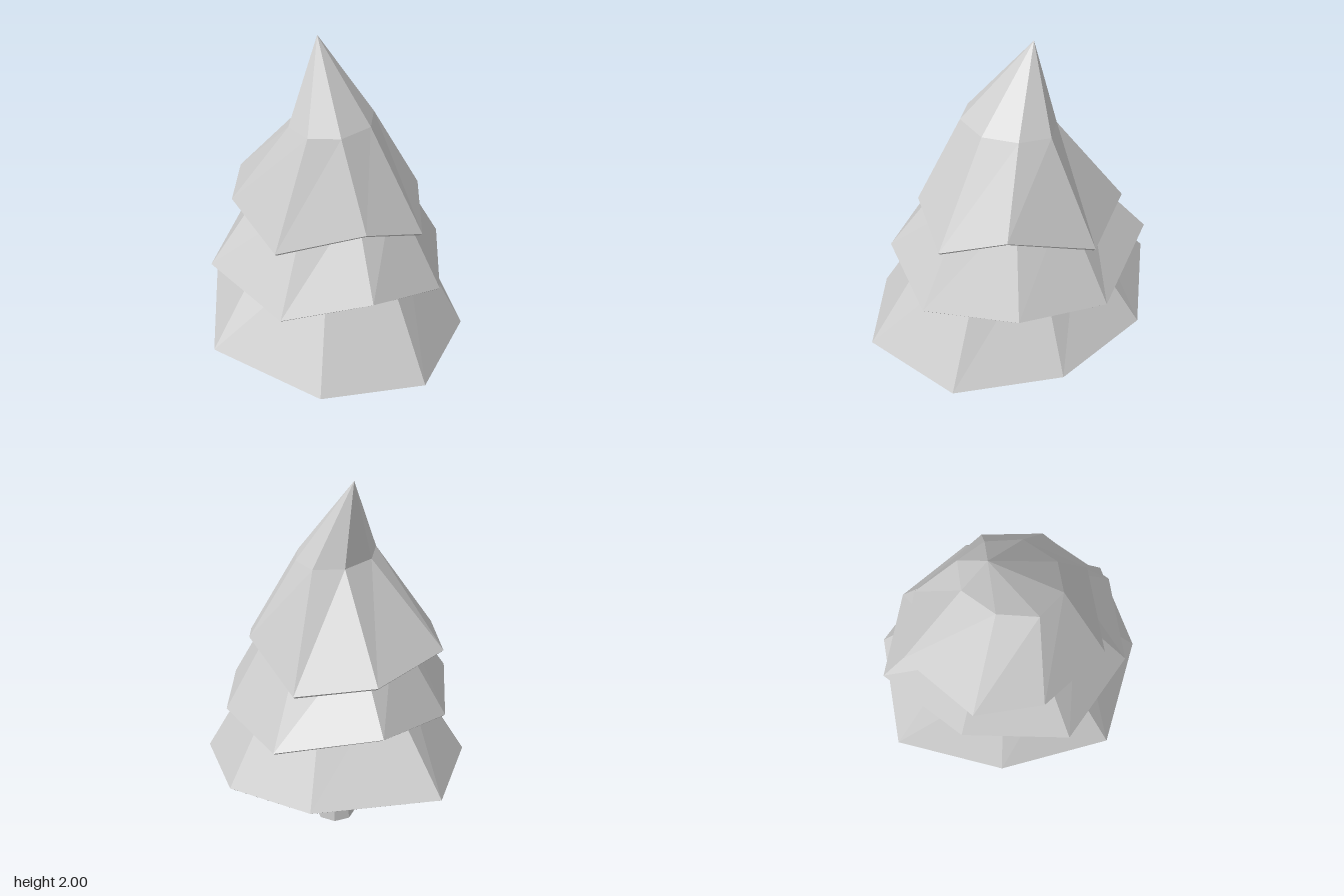
import * as THREE from 'three';

const material = new THREE.MeshStandardMaterial({ color: 0xcccccc, flatShading: true });

// Skin a list of equal-length rings; skips collapsed triangles.
function loft(rings) {
  const pos = [];
  const tri = (a, b, c) => {
    if (a.distanceTo(b) > 1e-5 && b.distanceTo(c) > 1e-5 && c.distanceTo(a) > 1e-5) {
      for (const p of [a, b, c]) pos.push(p.x, p.y, p.z);
    }
  };
  for (let r = 0; r + 1 < rings.length; r++) {
    const lo = rings[r], hi = rings[r + 1], n = lo.length;
    for (let i = 0; i < n; i++) {
      const j = (i + 1) % n;
      tri(lo[j], lo[i], hi[i]);
      tri(lo[j], hi[i], hi[j]);
    }
  }
  const geo = new THREE.BufferGeometry();
  geo.setAttribute('position', new THREE.Float32BufferAttribute(pos, 3));
  geo.computeVertexNormals();
  return geo;
}

const ring = (pts) => pts.map((p) => new THREE.Vector3(...p));

// Shrink a ring towards the trunk axis, optionally to a level height.
const shrink = (pts, s, cx, y) =>
  pts.map((p) => new THREE.Vector3(cx + (p.x - cx) * s, y, p.z * s));

const collapse = (pts, x, y, z) => pts.map(() => new THREE.Vector3(x, y, z));

// Hollow skirt of foliage: inner skin, thin rim, outer skin.
function foliage(name, outer) {
  const inner = outer.map((r) =>
    r.map((p) => new THREE.Vector3(0.04 + (p.x - 0.04) * 0.98, p.y - 0.012, p.z * 0.98)));
  const mesh = new THREE.Mesh(loft([...inner.reverse(), ...outer]), material);
  mesh.name = name;
  return mesh;
}

export function createModel() {
  const tree = new THREE.Group();
  tree.name = 'tree';

  // Eight-sided tapered trunk
  const profile = [[0, 0], [0.1175, 0], [0.077, 0.45], [0.065, 1.03], [0, 1.03]]
    .map(([r, y]) => new THREE.Vector2(r, y));
  const trunk = new THREE.Mesh(new THREE.LatheGeometry(profile, 8), material);
  trunk.position.set(0.037, 0, 0.02);
  trunk.name = 'trunk';
  tree.add(trunk);

  // Lower skirt
  const low = ring([
    [-0.40, 0.515, -0.55], [0.13, 0.59, -0.84], [0.64, 0.565, -0.455], [0.74, 0.485, 0.065],
    [0.515, 0.41, 0.585], [0, 0.43, 0.833], [-0.476, 0.417, 0.573], [-0.742, 0.467, -0.015],
  ]);
  tree.add(foliage('lowerFoliage', [
    low, shrink(low, 0.5, 0.06, 1.05), collapse(low, 0.04, 1.07, 0),
  ]));

  // Middle skirt
  const mid = ring([
    [-0.16, 0.85, -0.60], [0.355, 0.95, -0.655], [0.665, 0.805, -0.22], [0.60, 0.83, 0.25],
    [0.27, 0.797, 0.62], [-0.18, 0.907, 0.61], [-0.54, 0.805, 0.335], [-0.60, 0.847, -0.225],
  ]);
  tree.add(foliage('middleFoliage', [
    mid, shrink(mid, 0.53, 0.06, 1.3), collapse(mid, 0.04, 1.32, 0),
  ]));

  // Crown, bent backwards towards its tip
  const crownRim = ring([
    [-0.20, 1.18, -0.53], [0.28, 1.145, -0.54], [0.53, 1.065, -0.22], [0.44, 1.2, 0.23],
    [0.23, 1.093, 0.50], [-0.11, 1.203, 0.46], [-0.465, 1.095, 0.195], [-0.43, 1.18, -0.25],
  ]);
  const crownBend = ring([
    [-0.04, 1.61, -0.17], [0.16, 1.61, -0.19], [0.28, 1.61, -0.09], [0.25, 1.61, 0.07],
    [0.12, 1.61, 0.20], [-0.08, 1.615, 0.22], [-0.205, 1.615, 0.12], [-0.20, 1.61, -0.045],
  ]);
  tree.add(foliage('crownFoliage', [
    crownRim, crownBend, collapse(crownRim, 0.037, 2, -0.122),
  ]));

  return tree;
}
